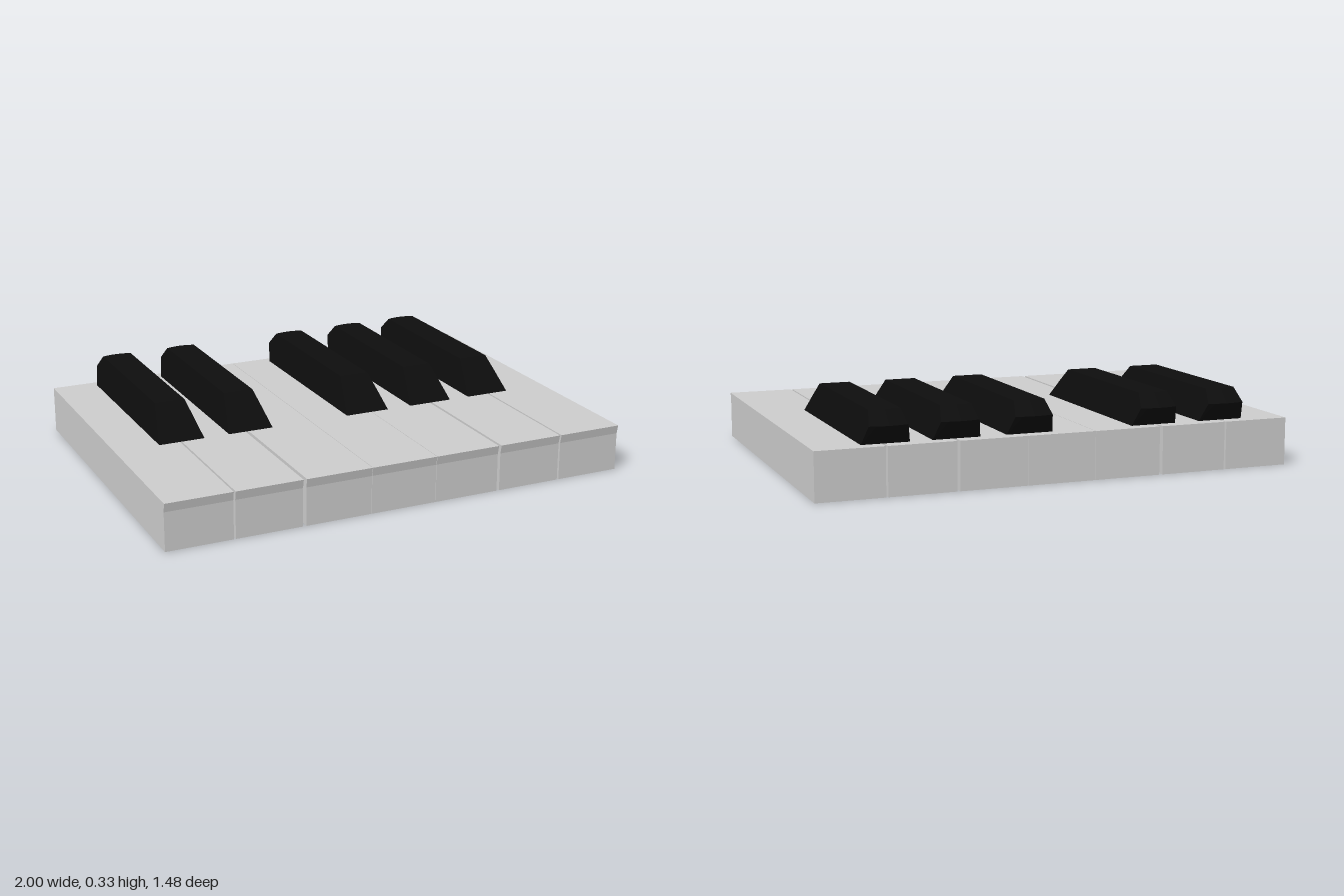
import * as THREE from 'three';

// Left and right edge of every natural key
const naturals = [
  [-1, -0.724], [-0.716, -0.437], [-0.423, -0.143], [-0.141, 0.142],
  [0.144, 0.425], [0.437, 0.714], [0.722, 1],
];
// Centre of every sharp key
const sharps = [-0.717, -0.415, 0.122, 0.425, 0.71];

// Side profile (z, y) with a small flared lip at the front, swept across x
function naturalGeometry(x0, x1) {
  const profile = new THREE.Shape([
    [-0.725, 0], [0.733, 0], [0.733, 0.16], [0.741, 0.197], [-0.725, 0.197],
  ].map(([z, y]) => new THREE.Vector2(z, y)));
  const geometry = new THREE.ExtrudeGeometry(profile, { depth: x1 - x0, bevelEnabled: false });
  return geometry.rotateY(-Math.PI / 2).translate(x1, 0, 0);
}

// Tapered bar lofted from three stacked outlines with a bowed, pointed back
function sharpGeometry() {
  const levels = [
    { y: 0.199, half: 0.097, front: 0.16, back: -0.682, bow: 0 },
    { y: 0.275, half: 0.078, front: 0.083, back: -0.726, bow: 0.013 },
    { y: 0.33, half: 0.064, front: 0.025, back: -0.674, bow: 0.012 },
  ];
  const segments = 6;
  const rings = levels.map(({ y, half, front, back, bow }) => {
    const ring = [[-half, y, front], [half, y, front]];
    for (let i = 0; i <= segments; i++) {
      const t = 1 - (2 * i) / segments;
      ring.push([half * t, y, back - bow * (1 - t * t)]);
    }
    return ring;
  });
  const n = rings[0].length;
  const positions = [];
  const triangle = (a, b, c) => positions.push(...a, ...b, ...c);
  for (let k = 0; k < rings.length - 1; k++) {
    const low = rings[k], high = rings[k + 1];
    for (let i = 0; i < n; i++) {
      const j = (i + 1) % n;
      triangle(low[i], low[j], high[j]);
      triangle(low[i], high[j], high[i]);
    }
  }
  // Top and bottom caps
  const bottom = rings[0], top = rings[rings.length - 1];
  for (let i = 1; i < n - 1; i++) {
    triangle(top[0], top[i], top[i + 1]);
    triangle(bottom[0], bottom[i + 1], bottom[i]);
  }
  const geometry = new THREE.BufferGeometry();
  geometry.setAttribute('position', new THREE.Float32BufferAttribute(positions, 3));
  geometry.computeVertexNormals();
  return geometry;
}

export function createModel() {
  const model = new THREE.Group();
  model.name = 'pianoOctave';
  const grey = new THREE.MeshStandardMaterial({ color: 0xcccccc, flatShading: true });
  const black = new THREE.MeshStandardMaterial({ color: 0x0d0d0d, flatShading: true });

  naturals.forEach(([x0, x1], i) => {
    const key = new THREE.Mesh(naturalGeometry(x0, x1), grey);
    key.name = `naturalKey${i + 1}`;
    model.add(key);
  });

  const bar = sharpGeometry();
  sharps.forEach((x, i) => {
    const key = new THREE.Mesh(bar, black);
    key.name = `sharpKey${i + 1}`;
    key.position.x = x;
    model.add(key);
  });
  return model;
}
